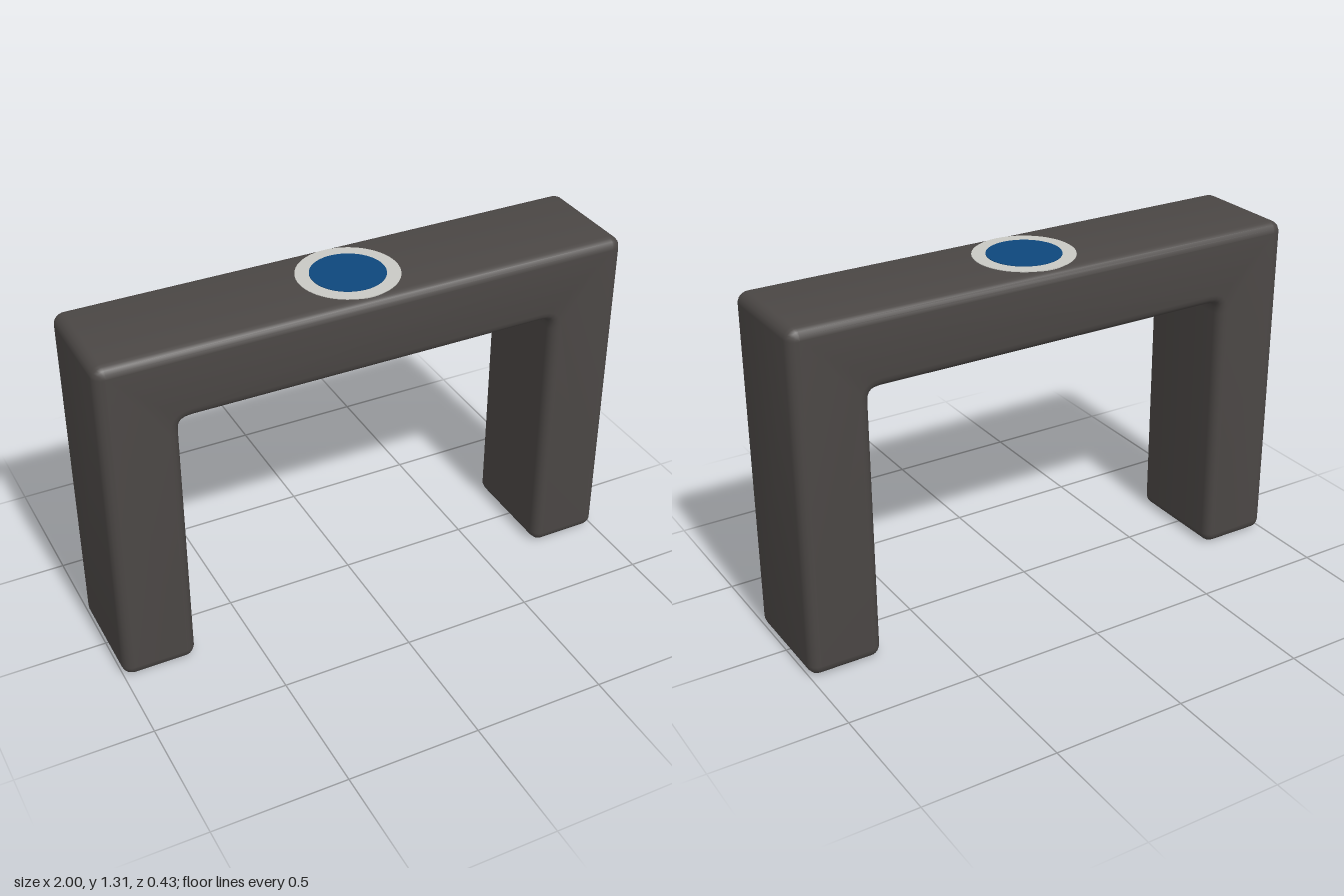
import * as THREE from 'three';
import { toCreasedNormals } from 'three/addons/utils/BufferGeometryUtils.js';

const HEIGHT = 1.303, DEPTH = 0.43, BEVEL = 0.038;

// Closed outline with each corner [x, y, radius] rounded off
function roundedOutline(corners) {
  const shape = new THREE.Shape();
  corners.forEach(([x, y, r], i) => {
    const n = corners.length;
    const p = new THREE.Vector2(x, y);
    const toward = ([qx, qy]) => new THREE.Vector2(qx, qy).sub(p).setLength(r).add(p);
    const a = toward(corners[(i + n - 1) % n]);
    const b = toward(corners[(i + 1) % n]);
    if (i === 0) shape.moveTo(a.x, a.y);
    else shape.lineTo(a.x, a.y);
    shape.quadraticCurveTo(x, y, b.x, b.y);
  });
  shape.closePath();
  return shape;
}

export function createModel() {
  const group = new THREE.Group();
  const charcoal = new THREE.MeshStandardMaterial({ color: 0x4b4745 });
  const paleGrey = new THREE.MeshStandardMaterial({ color: 0xc9c9c4 });
  const blue = new THREE.MeshStandardMaterial({ color: 0x0e477c });

  // Arch: two legs and a beam, drawn inset so the bevel grows it to full size
  const out = 1 - BEVEL, inn = 0.723 + BEVEL;
  const low = BEVEL, under = 1.034 + BEVEL, top = HEIGHT - BEVEL;
  const tight = 0.004, wide = 0.045 + BEVEL;
  const outline = roundedOutline([
    [-out, low, tight], [-inn, low, tight], [-inn, under, wide],
    [inn, under, wide], [inn, low, tight], [out, low, tight],
    [out, top, tight], [-out, top, tight],
  ]);
  const archGeometry = new THREE.ExtrudeGeometry(outline, {
    depth: DEPTH - 2 * BEVEL, curveSegments: 5,
    bevelSize: BEVEL, bevelThickness: BEVEL, bevelSegments: 4,
  });
  archGeometry.translate(0, 0, BEVEL - DEPTH / 2);
  // Enlarged while smoothing so close vertices stay distinct
  archGeometry.scale(100, 100, 100);
  const smoothArch = toCreasedNormals(archGeometry, 0.6);
  smoothArch.scale(0.01, 0.01, 0.01);
  const arch = new THREE.Mesh(smoothArch, charcoal);
  arch.name = 'arch';
  group.add(arch);

  // Round badge on top of the beam: pale rim with a blue centre
  const addDisc = (name, radius, topY, material) => {
    const disc = new THREE.Mesh(new THREE.CylinderGeometry(radius, radius, 0.006, 64), material);
    disc.position.y = topY - 0.003;
    disc.name = name;
    group.add(disc);
  };
  addDisc('badgeRim', 0.185, HEIGHT + 0.002, paleGrey);
  addDisc('badgeCentre', 0.135, HEIGHT + 0.004, blue);

  return group;
}
